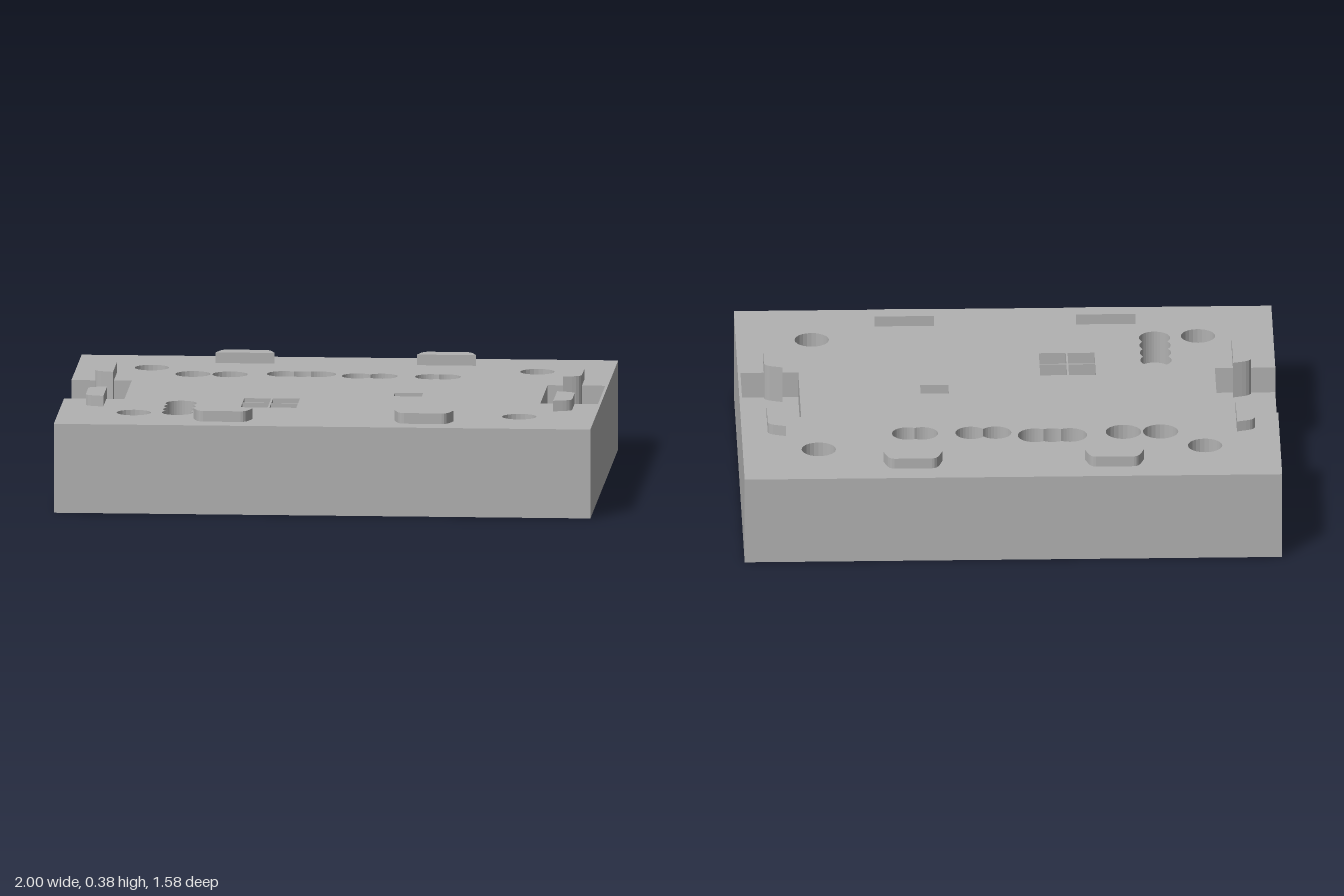
import * as THREE from 'three';

const TOP = 0.335, X = 1, Z = 0.79;
const NOTCH_FLOOR = 0.235, NOTCH_Z = 0.21, NOTCH_X = 0.775;

// Plan shapes use (x, -z) so that laying them flat faces them upwards.
const plan = pts => new THREE.Shape(pts.map(([x, z]) => new THREE.Vector2(x, -z)));
const rect = (x0, x1, z0, z1) => plan([[x0, z1], [x1, z1], [x1, z0], [x0, z0]]);

// Outline of a row of equal, overlapping drilled circles.
function drilledRow(x, z, r, n = 1, step = 0, alongZ = false) {
  const s = new THREE.Shape(), PI = Math.PI;
  if (n === 1) {
    s.absarc(x, -z, r, 0, 2 * PI, false);
    return s;
  }
  const a = Math.acos(step / 2 / r), turn = alongZ ? -PI / 2 : 0;
  const arc = (i, from, to) => s.absarc(
    x + (alongZ ? 0 : i * step), -z - (alongZ ? i * step : 0), r, from + turn, to + turn, false);
  arc(0, a, 2 * PI - a);
  for (let i = 1; i < n - 1; i++) arc(i, PI + a, 2 * PI - a);
  arc(n - 1, -PI + a, PI - a);
  for (let i = n - 2; i > 0; i--) arc(i, a, PI - a);
  return s;
}

// Vertical walls along plan points; inward walls face the inside of a pocket.
function walls(pts, y0, y1, inward, closed = true) {
  const pos = [];
  const count = closed ? pts.length : pts.length - 1;
  for (let i = 0; i < count; i++) {
    let p = pts[i], q = pts[(i + 1) % pts.length];
    if (p.distanceTo(q) < 1e-5) continue;
    if (inward) [p, q] = [q, p];
    pos.push(p.x, y0, -p.y, q.x, y0, -q.y, q.x, y1, -q.y,
      p.x, y0, -p.y, q.x, y1, -q.y, p.x, y1, -p.y);
  }
  const g = new THREE.BufferGeometry();
  g.setAttribute('position', new THREE.Float32BufferAttribute(pos, 3));
  g.computeVertexNormals();
  return g;
}

const flat = (shape, y) => new THREE.ShapeGeometry(shape, 12).rotateX(-Math.PI / 2).translate(0, y, 0);

export function createModel() {
  const model = new THREE.Group();
  model.name = 'boardTray';
  const grey = new THREE.MeshStandardMaterial({ color: 0xb2b2b2 });
  grey.name = 'grey';
  const add = (name, geometry, parent = model) => {
    const m = new THREE.Mesh(geometry, grey);
    m.name = name;
    parent.add(m);
    return m;
  };

  // Pockets sunk into the top: [name, outline, floor height]
  const pockets = [
    ['sideRecess', rect(NOTCH_X, 0.99, -NOTCH_Z, NOTCH_Z), NOTCH_FLOOR],
    ['smallRecess', rect(0.22, 0.325, 0, 0.078), 0.295],
    ['twinHoleLeft', drilledRow(-0.558, -0.378, 0.066), 0.21],
    ['twinHoleRight', drilledRow(-0.42, -0.378, 0.066), 0.21],
    ['tripleSlot', drilledRow(-0.22, -0.402, 0.064, 3, 0.065), 0.21],
    ['doubleSlot', drilledRow(0.055, -0.373, 0.058, 2, 0.092), 0.21],
    ['shortSlot', drilledRow(0.328, -0.373, 0.058, 2, 0.055), 0.21],
    ['longSlot', drilledRow(-0.558, 0.29, 0.058, 4, 0.07, true), 0.21],
  ];
  for (const x of [-0.72, 0.717])
    for (const z of [-0.513, 0.513]) pockets.push(['cornerHole', drilledRow(x, z, 0.064), 0.21]);
  for (const x of [-0.331, -0.224])
    for (const z of [0.159, 0.266]) pockets.push(['squareCell', rect(x, x + 0.1, z, z + 0.1), 0.27]);

  // Top face with the open notch on the right-hand edge and all pocket openings
  const topShape = plan([[-X, Z], [X, Z], [X, -Z], [-X, -Z],
    [-X, -NOTCH_Z], [-NOTCH_X, -NOTCH_Z], [-NOTCH_X, NOTCH_Z], [-X, NOTCH_Z]]);
  for (const [, shape] of pockets) topShape.holes.push(new THREE.Path(shape.getPoints(12)));
  add('topFace', flat(topShape, TOP));

  // Pocket walls and floors
  for (const [name, shape, floor] of pockets) {
    const g = new THREE.Group();
    g.name = name;
    add('pocketWalls', walls(shape.getPoints(12), floor, TOP, true), g);
    add('pocketFloor', flat(shape, floor), g);
    model.add(g);
  }

  // Outer sides, the notched side and the underside
  const v = (x, z) => new THREE.Vector2(x, -z);
  add('outerSides', walls([v(-X, Z), v(X, Z), v(X, -Z), v(-X, -Z)], 0, TOP, false, false));
  const side = new THREE.Shape([[-Z, 0], [Z, 0], [Z, TOP], [NOTCH_Z, TOP], [NOTCH_Z, NOTCH_FLOOR],
    [-NOTCH_Z, NOTCH_FLOOR], [-NOTCH_Z, TOP], [-Z, TOP]].map(p => new THREE.Vector2(...p)));
  add('notchedSide', new THREE.ShapeGeometry(side).rotateY(-Math.PI / 2).translate(-X, 0, 0));
  add('underside', new THREE.PlaneGeometry(2 * X, 2 * Z).rotateX(Math.PI / 2));

  // Open notch
  add('notchWalls', walls([v(-X, NOTCH_Z), v(-NOTCH_X, NOTCH_Z), v(-NOTCH_X, -NOTCH_Z),
    v(-X, -NOTCH_Z)], NOTCH_FLOOR, TOP, true, false));
  add('notchFloor', flat(rect(-X, -NOTCH_X, -NOTCH_Z, NOTCH_Z), NOTCH_FLOOR));

  // Locating tabs: wide edge inwards, narrow rounded edge outwards
  const tab = new THREE.Shape();
  tab.moveTo(-0.11, 0);
  tab.lineTo(0.11, 0);
  tab.lineTo(0.1, 0.033);
  tab.quadraticCurveTo(0.09, 0.068, 0.07, 0.068);
  tab.lineTo(-0.07, 0.068);
  tab.quadraticCurveTo(-0.09, 0.068, -0.1, 0.033);
  const addTab = (name, x, z, angle, bottom) => {
    const depth = 0.375 - bottom;
    const g = new THREE.ExtrudeGeometry(tab, { depth, bevelEnabled: false, curveSegments: 4 });
    const m = add(name, g.rotateX(-Math.PI / 2));
    m.rotation.y = angle;
    m.position.set(x, bottom, z);
  };
  for (const x of [-0.38, 0.37]) {
    addTab('backTab', x, -0.633, 0, TOP);
    addTab('frontTab', x, 0.633, Math.PI, TOP);
  }
  for (const z of [-0.275, 0.275]) {
    addTab('leftTab', 0.835, z, -Math.PI / 2, NOTCH_FLOOR);
    addTab('rightTab', -0.842, z, Math.PI / 2, NOTCH_FLOOR);
  }
  return model;
}
